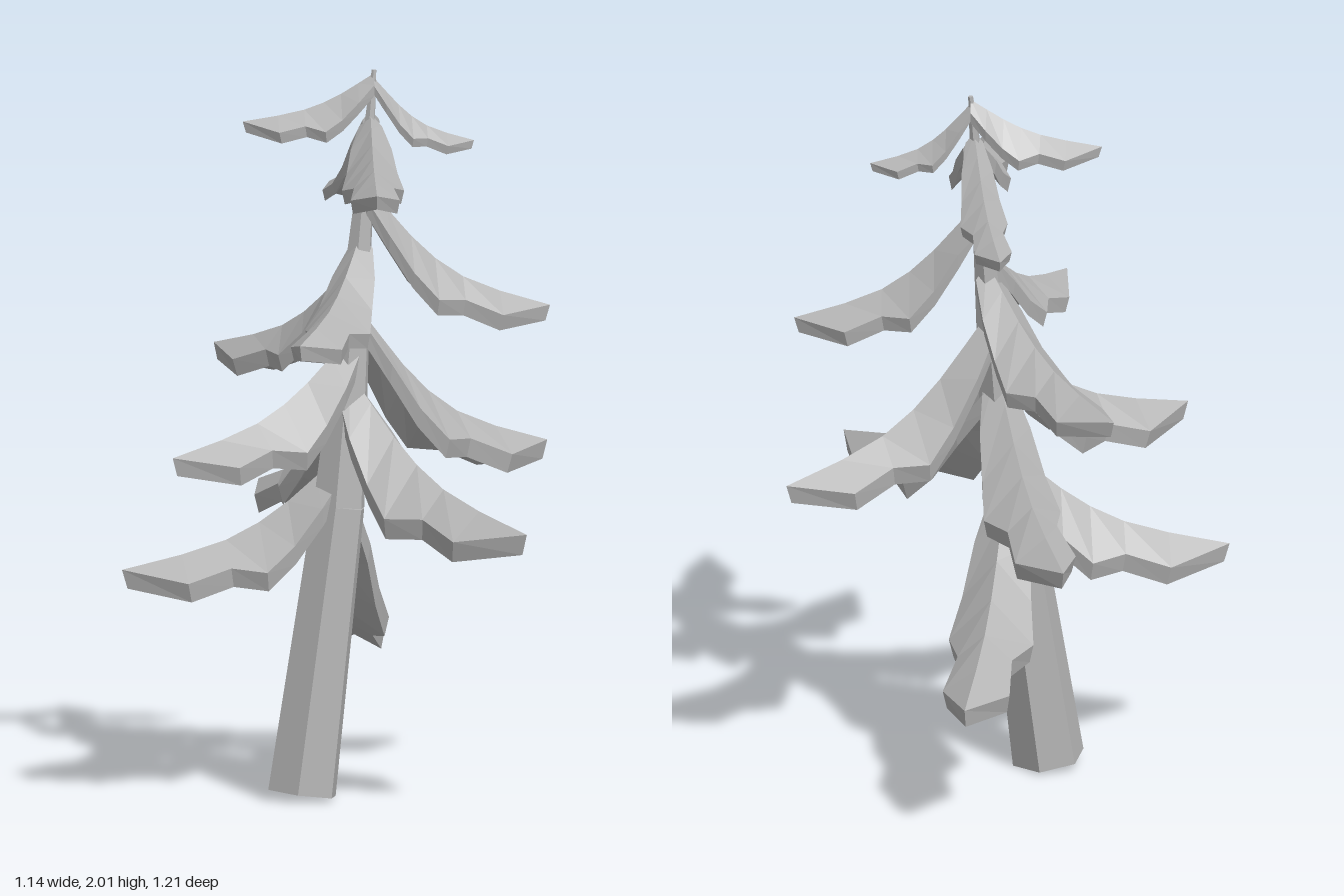
import * as THREE from 'three';

const grey = new THREE.MeshStandardMaterial({ color: 0xb4b4b4, flatShading: true });
grey.name = 'grey';

// Leaning, slightly bent trunk: centre and radius at each joint
const JOINTS = [
  { p: new THREE.Vector3(-0.155, 0.01, -0.13), r: 0.102 },
  { p: new THREE.Vector3(-0.055, 0.8, -0.078), r: 0.077 },
  { p: new THREE.Vector3(0.07, 2.0, -0.05), r: 0.007 },
];
const trunkAt = (y) => {
  const a = JOINTS[1].p, b = JOINTS[2].p;
  return a.clone().lerp(b, (y - a.y) / (b.y - a.y));
};

// Bough stations: distance out, ridge height (share of drop), half width, edge droop (share of length)
const STATIONS = [
  [0.0, 1.0, 0.07, 0.08],
  [0.12, 0.79, 0.125, 0.13],
  [0.25, 0.57, 0.155, 0.18],
  [0.38, 0.39, 0.19, 0.2],
  [0.53, 0.24, 0.122, 0.11],
  [0.73, 0.12, 0.15, 0.11],
  [1.0, 0.0, 0.0, 0.0],
];

// Tip position and the height where the bough leaves the trunk
const BOUGHS = [
  [0.475, 0.40, -0.415, 0.86],
  [-0.50, 0.64, -0.49, 0.95],
  [-0.11, 0.79, 0.605, 1.17],
  [0.26, 0.79, -0.585, 1.18],
  [0.567, 0.93, 0.175, 1.36],
  [-0.57, 0.98, -0.265, 1.28],
  [0.08, 1.19, -0.605, 1.50],
  [0.39, 1.34, 0.315, 1.69],
  [-0.455, 1.31, 0.085, 1.55],
  [0.255, 1.64, -0.34, 1.89],
  [-0.295, 1.72, 0.23, 1.88],
  [0.255, 1.80, 0.155, 1.98],
  [-0.165, 1.86, -0.325, 1.99],
];

// Thick folded leaf with a central ridge and a notched outline
function boughGeometry([x, y, z, rootY]) {
  const root = trunkAt(rootY);
  const out = new THREE.Vector3(x - root.x, 0, z - root.z);
  const length = out.length();
  out.normalize();
  const side = new THREE.Vector3(0, 1, 0).cross(out);
  const thick = 0.085 * length;
  const positions = [];
  const index = [];

  for (const [u, h, w, droop] of STATIONS) {
    const ridgeY = y + (rootY - y) * h;
    const add = (s, down, inset) => {
      const p = root.clone()
        .addScaledVector(out, (u - inset * u) * length)
        .addScaledVector(side, s * w * length);
      positions.push(p.x, ridgeY - down, p.z);
    };
    const edge = droop * length;
    add(1, edge, 0);
    add(0, 0, 0);
    add(-1, edge, 0);
    add(-0.9, edge + thick, 0.025);
    add(0, thick, 0.025);
    add(0.9, edge + thick, 0.025);
  }

  for (let k = 0; k < STATIONS.length - 1; k++) {
    for (let i = 0; i < 6; i++) {
      const j = (i + 1) % 6;
      const a = k * 6 + i, b = k * 6 + j;
      index.push(a, b, b + 6, a, b + 6, a + 6);
    }
  }
  // Close the inner end
  for (const [a, b, c] of [[0, 5, 1], [5, 4, 1], [4, 3, 1], [3, 2, 1]]) index.push(a, b, c);

  const geometry = new THREE.BufferGeometry();
  geometry.setAttribute('position', new THREE.Float32BufferAttribute(positions, 3));
  geometry.setIndex(index);
  const flat = geometry.toNonIndexed();
  flat.computeVertexNormals();
  return flat;
}

// Six-sided tapering trunk length between two joints
function trunkPart(lower, upper, name) {
  const axis = upper.p.clone().sub(lower.p);
  const mesh = new THREE.Mesh(new THREE.CylinderGeometry(upper.r, lower.r, axis.length(), 6), grey);
  mesh.name = name;
  mesh.position.copy(lower.p).add(upper.p).multiplyScalar(0.5);
  mesh.quaternion.setFromUnitVectors(new THREE.Vector3(0, 1, 0), axis.normalize());
  return mesh;
}

export function createModel() {
  const tree = new THREE.Group();
  tree.name = 'tree';

  tree.add(trunkPart(JOINTS[0], JOINTS[1], 'lowerTrunk'));
  tree.add(trunkPart(JOINTS[1], JOINTS[2], 'upperTrunk'));

  // Drooping boughs, lowest first
  const boughs = new THREE.Group();
  boughs.name = 'boughs';
  BOUGHS.forEach((spec, i) => {
    const bough = new THREE.Mesh(boughGeometry(spec), grey);
    bough.name = `bough${i + 1}`;
    boughs.add(bough);
  });
  tree.add(boughs);
  return tree;
}
